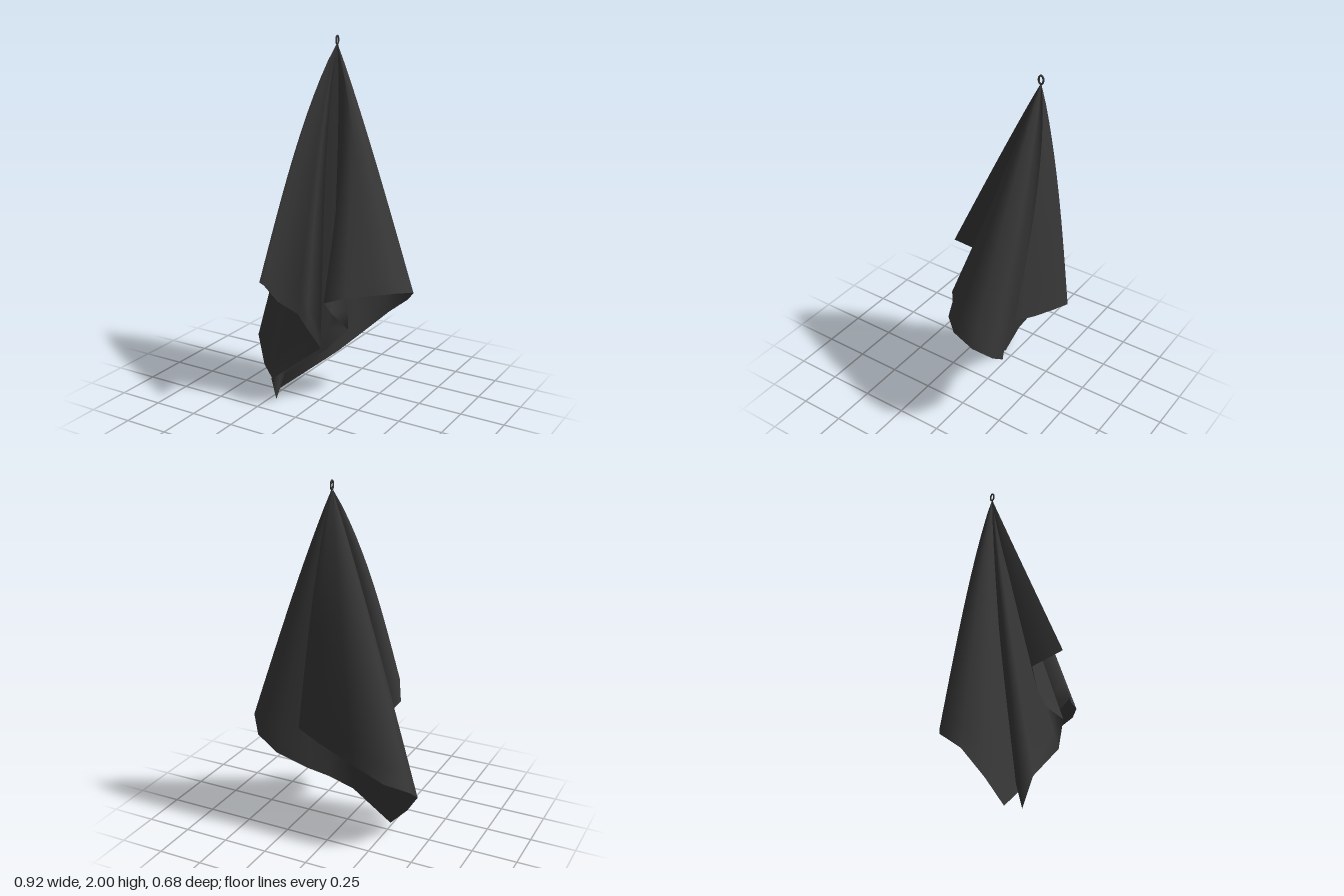
import * as THREE from 'three';

const APEX = new THREE.Vector3(-0.052, 1.955, -0.27);

// Panels of the cloth in order round the hem: hem corners, and how far the
// panel swells in x and z between the hanging point and the hem
const PANELS = {
  backFlap: { swell: [0, -0.045], hem: [[0.15, 0.66, -0.28], [0.01, 0.62, -0.32]] },
  leftBack: { swell: [-0.01, -0.022], hem: [[-0.18, 0.54, -0.32], [-0.36, 0.46, -0.31]] },
  leftLobe: {
    swell: [-0.013, 0],
    hem: [[-0.46, 0.38, -0.2], [-0.45, 0.28, -0.06], [-0.36, 0.14, 0.015], [-0.25, 0.02, 0.04]],
  },
  innerSheet: { swell: [0, -0.025], hem: [[-0.03, 0.2, 0.01], [0.08, 0.29, -0.07], [0.16, 0.37, -0.17]] },
  rightBack: { swell: [0.005, -0.018], hem: [[0.28, 0.49, -0.29], [0.39, 0.58, -0.3]] },
  rightLobe: { swell: [0.015, 0], hem: [[0.46, 0.655, -0.22], [0.44, 0.69, -0.09], [0.35, 0.69, 0.01]] },
  rightFold: { swell: [0.045, -0.03], hem: [[0.21, 0.67, 0.085], [0.12, 0.65, 0.155]] },
  pleat: {
    swell: [0, -0.03],
    hem: [[0.1, 0.55, 0.04], [0.13, 0.42, -0.09], [0.075, 0.34, 0.04], [-0.19, 0.14, 0.06]],
  },
  tail: { swell: [-0.01, 0], hem: [[-0.21, 0, 0.12], [-0.2, 0.15, 0.18]] },
  frontRidge: { swell: [-0.03, 0], hem: [[0.075, 0.37, 0.11], [0.03, 0.5, 0.18], [-0.05, 0.55, 0.14]] },
  frontFlap: { swell: [-0.035, 0.018], hem: [[-0.16, 0.61, 0.17], [-0.23, 0.7, 0.2], [-0.16, 0.77, 0.34]] },
};

// Sheet of ribs that fan out from the hanging point to the hem
function drapeGeometry(rows = 14) {
  const positions = [];
  const index = [];
  const ribs = Object.values(PANELS).flatMap(({ swell, hem }) => hem.map((corner) => ({ swell, corner })));
  ribs.forEach(({ swell, corner }, i) => {
    const end = new THREE.Vector3(...corner);
    const bulge = new THREE.Vector3(swell[0], 0, swell[1]);
    for (let j = 0; j <= rows; j++) {
      const t = THREE.MathUtils.lerp(0.006, 1, j / rows);
      const p = APEX.clone().lerp(end, t);
      p.addScaledVector(bulge, Math.sin(Math.PI * t ** 0.7));
      positions.push(p.x, p.y, p.z);
      if (i > 0 && j > 0) {
        const d = i * (rows + 1) + j;
        const c = d - rows - 1;
        index.push(c - 1, d - 1, c, d - 1, d, c);
      }
    }
  });
  const geometry = new THREE.BufferGeometry();
  geometry.setAttribute('position', new THREE.Float32BufferAttribute(positions, 3));
  geometry.setIndex(index);
  geometry.computeVertexNormals();
  return geometry;
}

// Small upright ring of cord, taller than it is deep
function loopGeometry() {
  const points = [];
  for (let i = 0; i < 8; i++) {
    const a = (i / 8) * Math.PI * 2;
    points.push(new THREE.Vector3(APEX.x, 1.973 + 0.022 * Math.sin(a), APEX.z + 0.013 * Math.cos(a)));
  }
  return new THREE.TubeGeometry(new THREE.CatmullRomCurve3(points, true), 24, 0.005, 6, true);
}

export function createModel() {
  const group = new THREE.Group();
  group.name = 'hangingTowel';

  const cloth = new THREE.MeshStandardMaterial({ color: 0x383838, side: THREE.DoubleSide });
  cloth.name = 'charcoal cloth';

  const drape = new THREE.Mesh(drapeGeometry(), cloth);
  drape.name = 'drapedCloth';

  const loop = new THREE.Mesh(loopGeometry(), cloth);
  loop.name = 'hangingLoop';

  group.add(drape, loop);
  return group;
}
